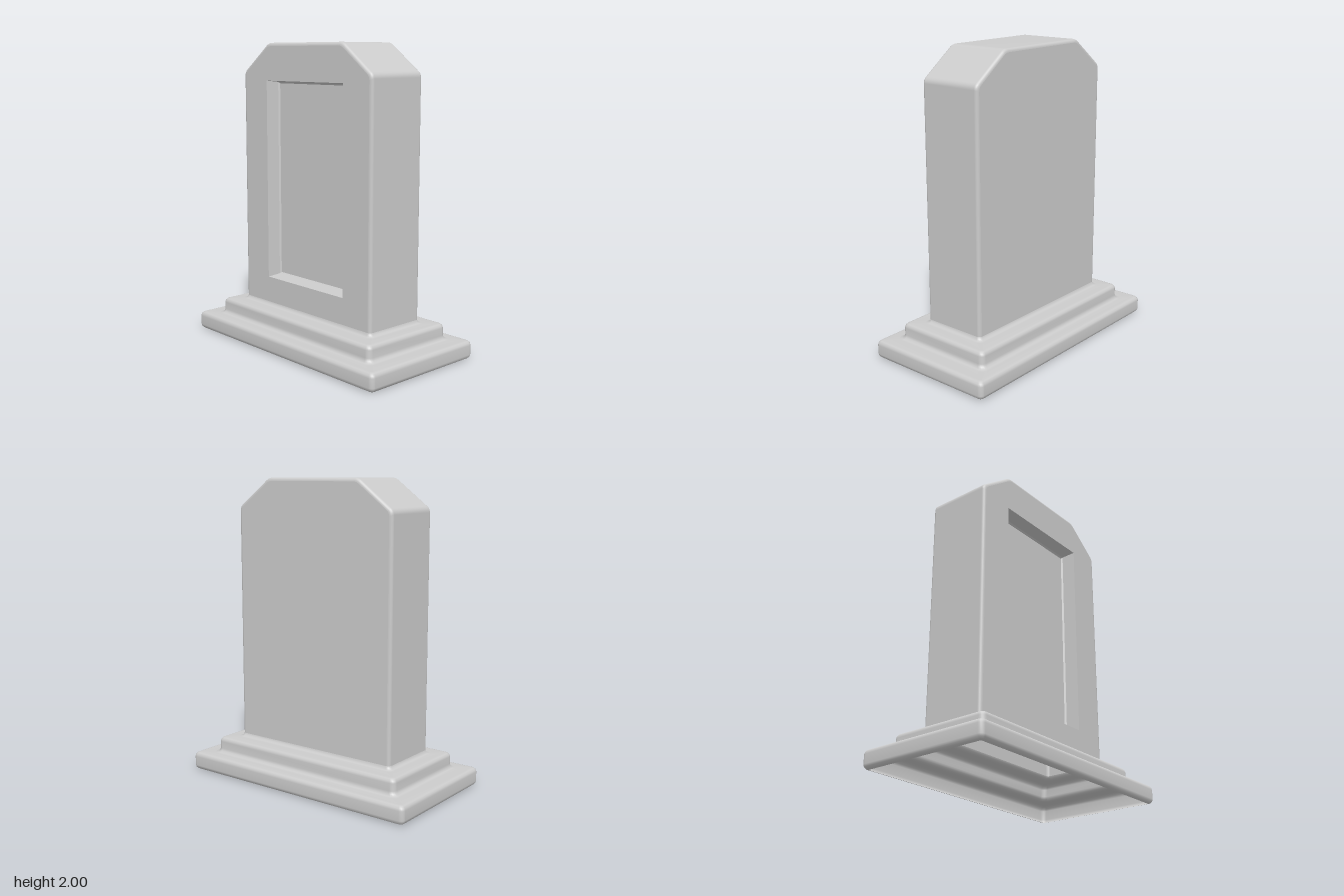
import * as THREE from 'three';

const material = new THREE.MeshStandardMaterial({ color: 0xcccccc, side: THREE.DoubleSide });

// Skin a list of equally long point rings; closed joins the ends of each ring.
function loft(rings, closed) {
  const n = rings[0].length, index = [];
  for (let i = 0; i < rings.length - 1; i++) {
    for (let j = 0; j < (closed ? n : n - 1); j++) {
      const k = (j + 1) % n;
      const a = i * n + j, b = i * n + k, c = b + n, d = a + n;
      index.push(a, b, d, b, c, d);
    }
  }
  const geometry = new THREE.BufferGeometry().setFromPoints(rings.flat());
  geometry.setIndex(index);
  geometry.computeVertexNormals();
  return geometry;
}

// Horizontal rounded rectangle at height y
function roundedRing(hx, hz, y, r) {
  const points = [];
  [[1, 1], [-1, 1], [-1, -1], [1, -1]].forEach(([sx, sz], q) => {
    for (let i = 0; i <= 5; i++) {
      const t = (q + i / 5) * Math.PI / 2;
      points.push(new THREE.Vector3(sx * (hx - r) + r * Math.cos(t), y, -sz * (hz - r) - r * Math.sin(t)));
    }
  });
  return points;
}

const HALF_DEPTH = 0.22, BODY_BOTTOM = 0.25, BEVEL = 0.022;

// Clipped-corner outline of the stone, moved inward by d, from lower right to lower left
function outline(d) {
  const shoulder = new THREE.Vector2(0.61 - d, 1.81 - 0.49 * d);
  const top = new THREE.Vector2(0.355 - 0.34 * d, 2 - d);
  const slope = top.clone().sub(shoulder).normalize();
  const round = 0.025;
  const right = [new THREE.Vector2(0.61 - d, BODY_BOTTOM)];
  const corner = (p, before, after) => {
    const curve = new THREE.QuadraticBezierCurve(
      p.clone().addScaledVector(before, -round), p, p.clone().addScaledVector(after, round));
    right.push(...curve.getPoints(4));
  };
  corner(shoulder, new THREE.Vector2(0, 1), slope);
  corner(top, slope, new THREE.Vector2(-1, 0));
  return [...right, ...right.map(p => new THREE.Vector2(-p.x, p.y)).reverse()];
}

export function createModel() {
  const group = new THREE.Group();
  const add = (name, geometry) => {
    const mesh = new THREE.Mesh(geometry, material);
    mesh.name = name;
    group.add(mesh);
    return mesh;
  };

  // Hollow stepped base, open below: half width, half depth, height, corner radius
  const profile = [
    [0.833, 0.427, 0, 0.015], [0.848, 0.442, 0.004, 0.02], [0.859, 0.453, 0.015, 0.027],
    [0.863, 0.457, 0.03, 0.03], [0.863, 0.457, 0.09, 0.03],
    [0.859, 0.453, 0.105, 0.027], [0.848, 0.442, 0.116, 0.02], [0.833, 0.427, 0.12, 0.015],
    [0.76, 0.378, 0.12, 0.05], [0.744, 0.362, 0.123, 0.045], [0.732, 0.35, 0.133, 0.037],
    [0.727, 0.345, 0.15, 0.033], [0.727, 0.345, 0.197, 0.033],
    [0.723, 0.341, 0.211, 0.03], [0.713, 0.331, 0.222, 0.025], [0.699, 0.317, 0.226, 0.018],
    [0.64, 0.25, 0.226, 0.04], [0.625, 0.235, 0.229, 0.033], [0.614, 0.224, 0.238, 0.026],
    [0.61, HALF_DEPTH, BODY_BOTTOM, BEVEL],
  ];
  add('steppedBase', loft(profile.map(p => roundedRing(...p)), true));

  // Sides and top of the stone with rounded front and back edges
  const sections = [];
  for (const side of [-1, 1]) {
    for (let i = 0; i <= 5; i++) {
      const t = (side < 0 ? i : 5 - i) / 5 * Math.PI / 2;
      const z = side * (HALF_DEPTH - BEVEL * (1 - Math.cos(t)));
      sections.push(outline(BEVEL * (1 - Math.sin(t))).map(p => new THREE.Vector3(p.x, p.y, z)));
    }
  }
  add('stoneSides', loft(sections, false));

  // Recess rectangle at depth z
  const panelRing = (hx, y0, y1, z) =>
    [[hx, y0], [hx, y1], [-hx, y1], [-hx, y0]].map(([x, y]) => new THREE.Vector3(x, y, z));
  const opening = panelRing(0.367, 0.424, 1.754, HALF_DEPTH);
  const floor = panelRing(0.348, 0.443, 1.735, 0.12);

  // Front with panel opening, and plain back
  const front = new THREE.Shape(outline(BEVEL));
  front.holes.push(new THREE.Path(opening.map(p => new THREE.Vector2(p.x, p.y))));
  add('stoneFront', new THREE.ShapeGeometry(front)).position.z = HALF_DEPTH;
  const back = add('stoneBack', new THREE.ShapeGeometry(new THREE.Shape(outline(BEVEL))));
  back.rotation.y = Math.PI;
  back.position.z = -HALF_DEPTH;

  // Recessed panel: crisp sloping walls and a flat floor
  const walls = loft([opening, panelRing(0.357, 0.434, 1.744, 0.13), floor], true).toNonIndexed();
  walls.computeVertexNormals();
  add('recessWalls', walls);
  const panel = new THREE.Shape(floor.map(p => new THREE.Vector2(p.x, p.y)));
  add('recessPanel', new THREE.ShapeGeometry(panel)).position.z = 0.12;

  return group;
}
